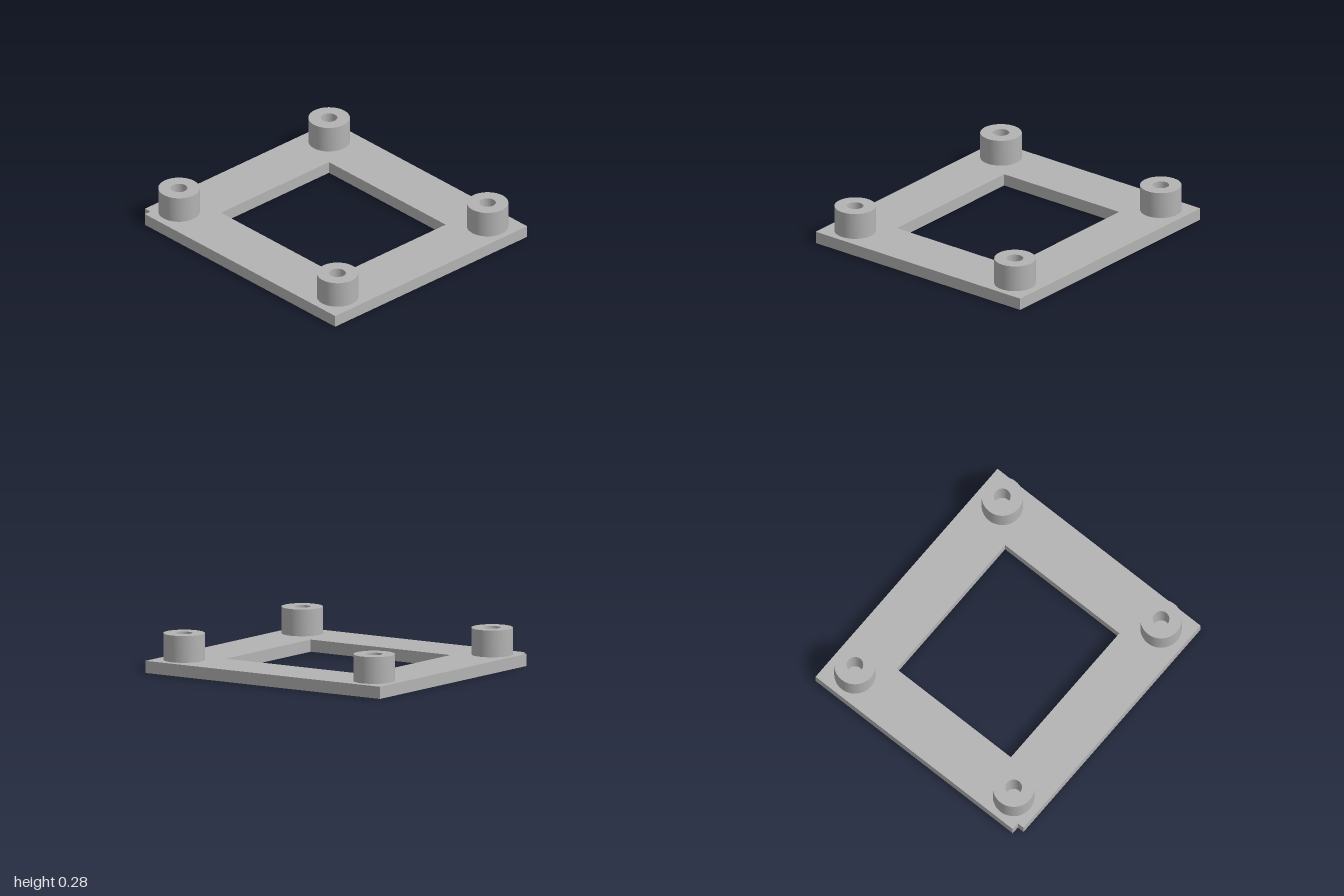
import * as THREE from 'three';
import { toCreasedNormals } from 'three/addons/utils/BufferGeometryUtils.js';

const PLATE_H = 0.086, TOP = 0.275;
const HX = 1, HZ = 0.917;

// Extrude a ground-plan shape (shape y = -z) upwards from y0 to y1.
function extrudeUp(shape, y0, y1) {
  const geo = new THREE.ExtrudeGeometry(shape, { depth: y1 - y0, bevelEnabled: false, curveSegments: 48 });
  geo.rotateX(-Math.PI / 2);
  geo.translate(0, y0, 0);
  return toCreasedNormals(geo, 0.6);
}

const points = (list) => list.map(([x, z]) => new THREE.Vector2(x, -z));

export function createModel() {
  const group = new THREE.Group();
  group.name = 'mountingFrame';
  const grey = new THREE.MeshStandardMaterial({ color: 0xb3b3b3 });
  grey.name = 'plainGrey';

  // Flat frame with a small notch in the front right corner
  const outline = new THREE.Shape(points([
    [-0.945, HZ], [HX, HZ], [HX, -HZ], [-HX, -HZ], [-HX, 0.865], [-0.945, 0.865],
  ]));
  outline.holes.push(new THREE.Path(points([
    [-0.596, 0.516], [-0.596, -0.516], [0.596, -0.516], [0.596, 0.516],
  ])));
  const plate = new THREE.Mesh(extrudeUp(outline, 0, PLATE_H), grey);
  plate.name = 'framePlate';
  group.add(plate);

  // Hollow standoffs, one per corner, closed below by the plate
  const ring = new THREE.Shape().absarc(0, 0, 0.145, 0, Math.PI * 2);
  ring.holes.push(new THREE.Path().absarc(0, 0, 0.058, 0, Math.PI * 2, true));
  const standoffGeo = extrudeUp(ring, PLATE_H, TOP);
  for (const [sx, side] of [[1, 'Left'], [-1, 'Right']]) {
    for (const [sz, end] of [[1, 'front'], [-1, 'back']]) {
      const standoff = new THREE.Mesh(standoffGeo, grey);
      standoff.name = `${end}${side}Standoff`;
      standoff.position.set(sx * 0.81, 0, sz * 0.717);
      group.add(standoff);
    }
  }
  return group;
}
